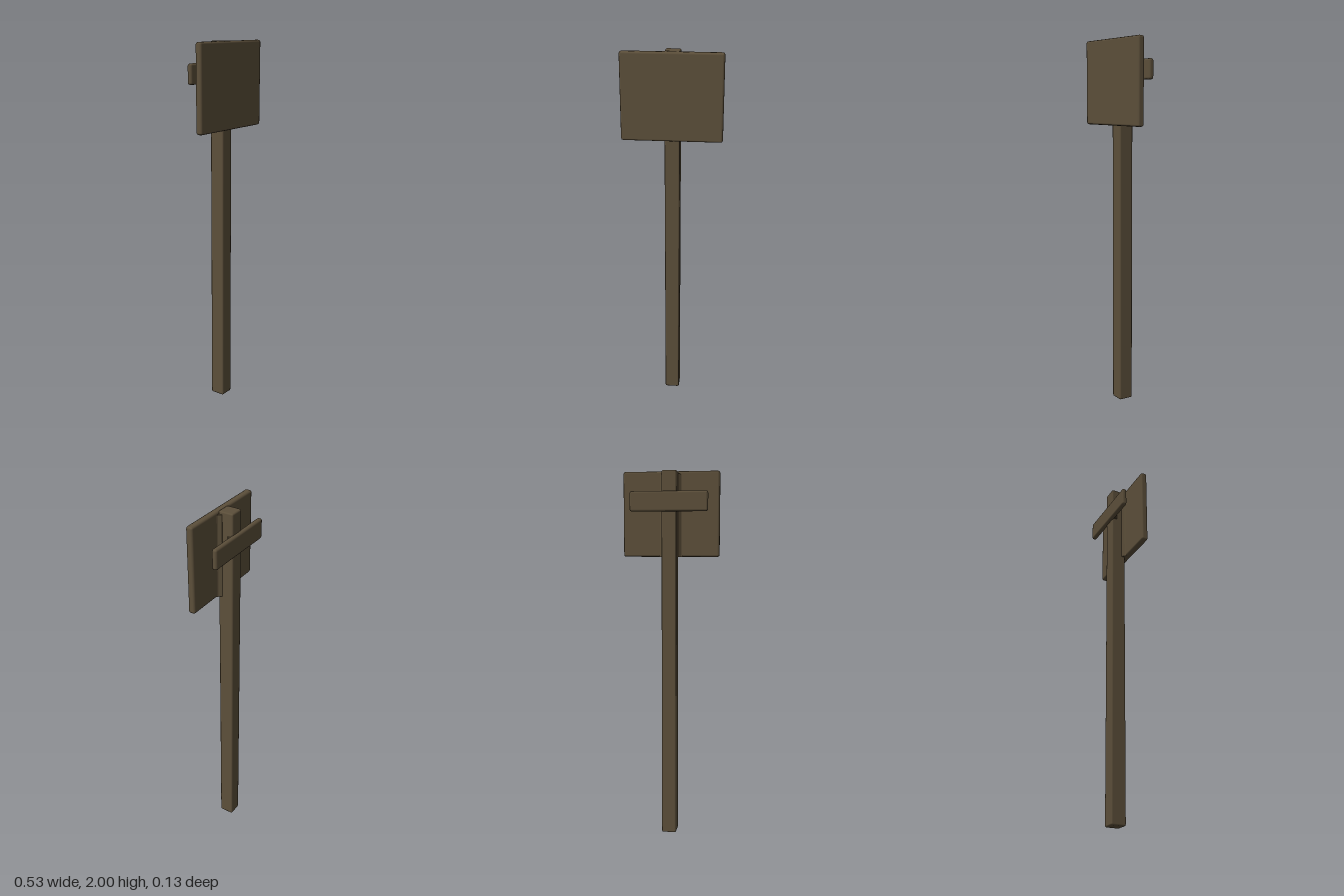
import * as THREE from 'three';
import { RoundedBoxGeometry } from 'three/addons/geometries/RoundedBoxGeometry.js';

export function createModel() {
  const group = new THREE.Group();
  const wood = new THREE.MeshStandardMaterial({ color: 0x5c4f3a });
  wood.name = 'weathered wood';

  // Box with softly chamfered edges, given by its lower and upper corners
  function plank(name, [x0, y0, z0], [x1, y1, z1], chamfer) {
    const geo = new RoundedBoxGeometry(x1 - x0, y1 - y0, z1 - z0, 1, chamfer);
    const mesh = new THREE.Mesh(geo, wood);
    mesh.name = name;
    mesh.position.set((x0 + x1) / 2, (y0 + y1) / 2, (z0 + z1) / 2);
    group.add(mesh);
  }

  // Flared joint widening from the post (zPost) to a plank (zPlank)
  function joint(name, zPost, zPlank, y0, y1) {
    const zMid = zPost + (zPlank - zPost) * 0.75;
    const side = [[0.041, zPost], [0.054, zMid], [0.064, zPlank]];
    const points = [...side, ...side.map(([x, z]) => [-x, z]).reverse()];
    const shape = new THREE.Shape(points.map(([x, z]) => new THREE.Vector2(x, -z)));
    const geo = new THREE.ExtrudeGeometry(shape, { depth: y1 - y0, bevelEnabled: false });
    geo.rotateX(-Math.PI / 2);
    const mesh = new THREE.Mesh(geo, wood);
    mesh.name = name;
    mesh.position.y = y0;
    group.add(mesh);
  }

  plank('post', [-0.04, 0, -0.049], [0.04, 2, 0.033], 0.008);
  plank('signBoard', [-0.263, 1.545, 0.028], [0.263, 2, 0.065], 0.011);
  plank('backCrossbar', [-0.21, 1.785, -0.067], [0.21, 1.892, -0.039], 0.011);
  joint('boardJoint', 0.01, 0.03, 1.545, 1.985);
  joint('crossbarJoint', -0.02, -0.041, 1.795, 1.882);

  return group;
}
